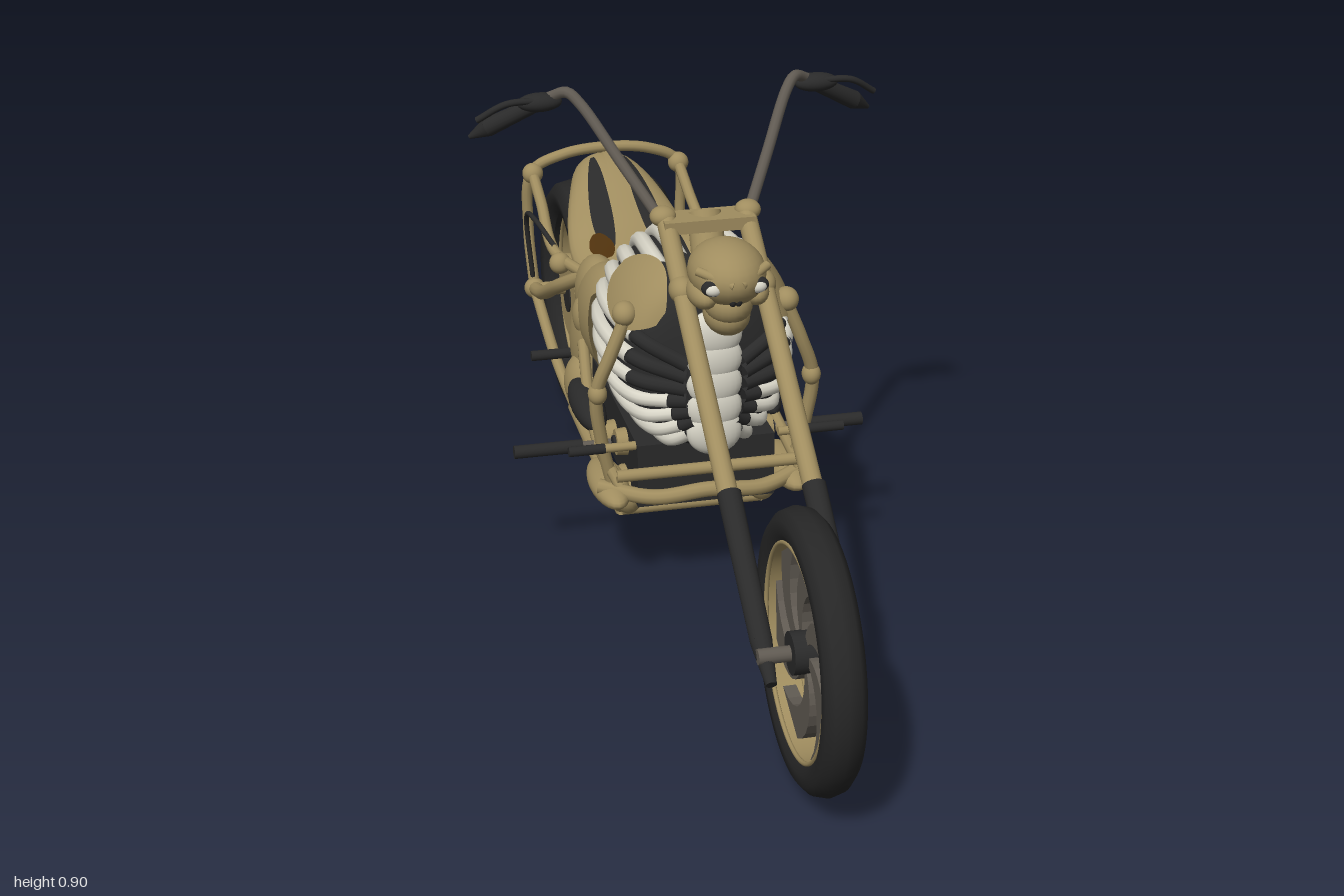
import * as THREE from 'three';
import { ParametricGeometry } from 'three/addons/geometries/ParametricGeometry.js';

const mat = (name, color, side = THREE.FrontSide) => {
  const m = new THREE.MeshStandardMaterial({ color, side });
  m.name = name;
  return m;
};

export function createModel() {
  const root = new THREE.Group();
  root.name = 'chopper';
  const gold = mat('bronze', 0xa08d5f, THREE.DoubleSide);
  const bone = mat('bone white', 0xd9d6c8);
  const black = mat('black', 0x2a2a2a, THREE.DoubleSide);
  const rubber = mat('rubber', 0x262626);
  const steel = mat('dark steel', 0x605a52);
  const silver = mat('silver', 0x8f8f8c);
  const brown = mat('brown leather', 0x4e310d, THREE.DoubleSide);

  const V = (p) => new THREE.Vector3(...p);
  const add = (name, geo, m, p = [0, 0, 0], parent = root) => {
    const mesh = new THREE.Mesh(geo, m);
    mesh.name = name;
    mesh.position.set(...p);
    parent.add(mesh);
    return mesh;
  };
  const tube = (name, pts, r, m) =>
    add(name, new THREE.TubeGeometry(new THREE.CatmullRomCurve3(pts.map(V)), pts.length * 8, r, 10), m);
  const ball = (name, p, s, m) => {
    const b = add(name, new THREE.SphereGeometry(1, 24, 16), m, p);
    b.scale.set(...s);
    return b;
  };
  const box = (name, p, s, m) => add(name, new THREE.BoxGeometry(...s), m, p);
  // Straight rod from a to b, with a radius at each end
  const rod = (name, a, b, ra, rb, m) => {
    const d = V(b).sub(V(a));
    const mesh = add(name, new THREE.CylinderGeometry(rb, ra, d.length(), 16), m);
    mesh.position.copy(V(a)).addScaledVector(d, 0.5);
    mesh.quaternion.setFromUnitVectors(new THREE.Vector3(0, 1, 0), d.normalize());
    return mesh;
  };
  const both = (fn) => [1, -1].forEach(fn);
  const span = (s, a0, a1) => (s > 0 ? [a0, a1] : [-a1, -a0]);

  // Lofted shell: rows are [z, bottom, top, half width], angle 0 is the crest
  const shell = (rows) => {
    const size = new THREE.CatmullRomCurve3(rows.map((r) => V(r.slice(1))), false, 'catmullrom');
    const along = new THREE.CatmullRomCurve3(rows.map((r) => V([r[0], 0, 0])), false, 'catmullrom');
    return (t, a, off = 0) => {
      const s = size.getPoint(t), h = (s.y - s.x) / 2;
      return new THREE.Vector3((s.z + off) * Math.sin(a), (s.x + s.y) / 2 + (h + off) * Math.cos(a), along.getPoint(t).x);
    };
  };
  const patch = (name, surf, a0, a1, t0, t1, off, m, taper = false) =>
    add(name, new ParametricGeometry((u, v, out) => {
      const k = taper ? Math.sqrt(Math.sin(Math.PI * (0.02 + 0.96 * v))) : 1;
      const mid = (a0 + a1) / 2;
      out.copy(surf(t0 + (t1 - t0) * v, mid + (u - 0.5) * (a1 - a0) * k, off));
    }, 32, 32), m);

  // Wheels: tyre, rim barrel and swept blades
  const wheel = (name, y, z, inner, half, tyreProfile, bladeDepth) => {
    const g = new THREE.Group();
    g.name = name;
    g.position.set(0, y, z);
    root.add(g);
    const pts = tyreProfile.map(([r, x]) => new THREE.Vector2(r, x));
    add('tyre', new THREE.LatheGeometry(pts, 64), rubber, [0, 0, 0], g).rotation.z = -Math.PI / 2;
    const barrel = new THREE.CylinderGeometry(inner, inner, half * 1.5, 64, 1, true);
    add('rimBarrel', barrel, gold, [0, 0, 0], g).rotation.z = Math.PI / 2;
    both((s) => {
      const lip = add('rimLip', new THREE.TorusGeometry(inner, 0.004, 8, 64), gold, [s * half * 0.75, 0, 0], g);
      lip.rotation.y = Math.PI / 2;
    });
    const sh = new THREE.Shape();
    const edge = [];
    for (let i = 0; i <= 8; i++) edge.push([0.03 + (inner - 0.03) * i / 8, 0.95 * (i / 8) ** 1.4, i / 8]);
    const at = ([r, a], w) => new THREE.Vector2(r * Math.cos(a + w), r * Math.sin(a + w));
    sh.setFromPoints([...edge.map((e) => at(e, -0.22 - 0.06 * e[2])), ...edge.reverse().map((e) => at(e, 0.24 + 0.08 * e[2]))]);
    const blade = new THREE.ExtrudeGeometry(sh, { depth: bladeDepth, bevelEnabled: false }).translate(0, 0, -bladeDepth / 2);
    const spokes = new THREE.Group();
    spokes.name = 'spokes';
    spokes.rotation.y = Math.PI / 2;
    g.add(spokes);
    for (let i = 0; i < 6; i++) add('blade', blade, steel, [0, 0, 0], spokes).rotation.z = i * Math.PI / 3;
    add('hub', new THREE.CylinderGeometry(0.035, 0.035, half * 1.9, 24), black, [0, 0, 0], g).rotation.z = Math.PI / 2;
    return g;
  };
  wheel('frontWheel', 0.24, 0.77, 0.174, 0.034,
    [[0.176, -0.026], [0.19, -0.034], [0.21, -0.033], [0.224, -0.021], [0.23, 0], [0.224, 0.021], [0.21, 0.033], [0.19, 0.034], [0.176, 0.026], [0.176, -0.026]], 0.022);
  const rear = wheel('rearWheel', 0.24, -0.76, 0.168, 0.1,
    [[0.17, -0.09], [0.185, -0.106], [0.21, -0.11], [0.228, -0.095], [0.238, -0.05], [0.24, 0], [0.238, 0.05], [0.228, 0.095], [0.21, 0.11], [0.185, 0.106], [0.17, 0.09], [0.17, -0.09]], 0.09);
  both((s) => {
    const r = s > 0 ? 0.072 : 0.085;
    add('hubDisc', new THREE.CylinderGeometry(r, r, 0.015, 32), s > 0 ? black : gold, [s * 0.085, 0, 0], rear).rotation.z = Math.PI / 2;
  });
  rod('frontAxle', [-0.085, 0.24, 0.77], [0.085, 0.24, 0.77], 0.013, 0.013, steel);
  rod('rearAxle', [-0.165, 0.25, -0.78], [0.165, 0.25, -0.78], 0.014, 0.014, gold);

  // Forks, clamps and handlebars
  both((s) => {
    const x = s * 0.071;
    rod('forkTube', [x, 0.39, 0.535], [x, 0.715, 0.055], 0.017, 0.017, gold);
    rod('forkSleeve', [x, 0.25, 0.74], [x, 0.405, 0.525], 0.018, 0.02, black);
    rod('forkTip', [x, 0.208, 0.805], [x, 0.25, 0.74], 0.009, 0.018, black);
    ball('clampKnob', [s * 0.075, 0.712, 0.06], [0.023, 0.018, 0.023], gold);
    ball('lowerClamp', [x, 0.625, 0.185], [0.022, 0.024, 0.03], gold);
    tube('handlebar', [[s * 0.075, 0.70, 0.06], [s * 0.13, 0.785, -0.02], [s * 0.185, 0.87, -0.1], [s * 0.205, 0.887, -0.12], [s * 0.23, 0.875, -0.14], [s * 0.28, 0.845, -0.165]], 0.01, steel);
    rod('grip', [s * 0.235, 0.87, -0.145], [s * 0.335, 0.81, -0.19], 0.013, 0.017, black);
    rod('gripEnd', [s * 0.335, 0.81, -0.19], [s * 0.366, 0.79, -0.203], 0.017, 0.004, black);
    ball('leverMount', [s * 0.25, 0.866, -0.14], [0.04, 0.017, 0.02], black);
    tube('lever', [[s * 0.25, 0.872, -0.13], [s * 0.31, 0.87, -0.13], [s * 0.36, 0.838, -0.15]], 0.006, black);
  });
  box('upperClamp', [0, 0.702, 0.07], [0.16, 0.022, 0.06], gold);
  rod('steeringNeck', [0, 0.585, 0.12], [0, 0.71, 0.05], 0.032, 0.03, gold);
  box('neckBlock', [0, 0.615, 0.12], [0.12, 0.045, 0.13], black);

  // Skull headlamp
  ball('cranium', [0, 0.665, 0.215], [0.066, 0.054, 0.085], gold);
  ball('upperJaw', [0, 0.615, 0.225], [0.042, 0.04, 0.052], gold);
  ball('lowerJaw', [0, 0.59, 0.215], [0.04, 0.038, 0.052], gold);
  both((s) => {
    ball('cheekbone', [s * 0.044, 0.633, 0.22], [0.026, 0.026, 0.05], gold);
    ball('eyeSocket', [s * 0.036, 0.66, 0.274], [0.022, 0.015, 0.014], black);
    ball('eye', [s * 0.038, 0.659, 0.28], [0.015, 0.011, 0.011], bone);
    ball('nostril', [s * 0.005, 0.637, 0.278], [0.007, 0.012, 0.009], black);
    rod('brow', [s * 0.006, 0.668, 0.294], [s * 0.06, 0.685, 0.254], 0.008, 0.008, gold);
  });

  // Rib cage tank: dark core, longitudinal ribs, spine and sternum
  const tank = shell([[0.13, 0.33, 0.52, 0.05], [0.10, 0.29, 0.59, 0.12], [0.04, 0.27, 0.62, 0.15], [-0.05, 0.27, 0.625, 0.16],
    [-0.15, 0.27, 0.607, 0.146], [-0.25, 0.28, 0.553, 0.116], [-0.33, 0.3, 0.485, 0.083], [-0.42, 0.33, 0.425, 0.055]]);
  patch('tankCore', tank, -Math.PI, Math.PI, 0, 1, 0, black);
  ball('frontCap', [0, 0.425, 0.128], [0.05, 0.095, 0.012], black);
  both((s) => {
    for (let i = 0; i < 11; i++) {
      const a = s * (0.25 + i * 0.237);
      const start = i < 4 ? 0.3 : i < 7 ? 0.2 : 0.06;
      const line = (t0, t1) => Array.from({ length: 9 }, (_, k) => tank(t0 + (t1 - t0) * k / 8, a, 0.002).toArray());
      tube('rib', line(start, 0.95), i < 6 ? 0.0155 : 0.013, bone);
      if (i > 3) tube('ribTip', line(0, start), 0.0135, black);
    }
    patch('shoulder', tank, ...span(s, 0.45, 1.2), 0.1, 0.42, 0.022, gold, true);
    patch('hipFan', tank, ...span(s, 1.35, 2.7), 0.56, 1, 0.022, gold);
  });
  patch('spine', tank, -0.15, 0.15, 0.08, 1, 0.022, gold);
  for (let i = 0; i < 5; i++) ball('sternumSegment', [0, 0.33 + i * 0.046, 0.128], [0.05, 0.045, 0.022], bone);

  // Hips, engine and side covers
  box('engineBlock', [0, 0.225, -0.14], [0.25, 0.12, 0.42], black);
  box('oilPan', [0, 0.148, -0.18], [0.2, 0.07, 0.25], brown);
  box('gearbox', [0, 0.2, -0.42], [0.23, 0.16, 0.15], gold);
  box('underPlate', [0, 0.115, -0.41], [0.2, 0.012, 0.2], black);
  both((s) => {
    ball('hip', [s * 0.085, 0.36, -0.34], [0.06, 0.1, 0.18], gold).rotation.x = -0.1;
    ball('hipRear', [s * 0.09, 0.37, -0.44], [0.045, 0.075, 0.09], gold);
    ball('hipJoint', [s * 0.125, 0.345, -0.4], [0.025, 0.04, 0.04], gold);
    ball('thigh', [s * 0.105, 0.28, -0.42], [0.045, 0.11, 0.095], gold);
    ball('kneeCover', [s * 0.125, 0.21, -0.39], [0.045, 0.062, 0.062], gold);
    ball('airScoop', [s * 0.165, 0.255, -0.19], [0.03, 0.028, 0.11], black);
    for (const [y, z, r] of [[0.25, -0.03, 0.028], [0.215, -0.13, 0.034], [0.205, -0.26, 0.045]]) {
      rod('engineCover', [s * 0.1, y, z], [s * 0.145, y, z], r, r * 0.85, gold);
      rod('coverCap', [s * 0.14, y, z], [s * 0.15, y, z], r * 0.5, r * 0.45, black);
    }
    // Arm-shaped front frame
    tube('armFrame', [[s * 0.14, 0.545, 0.07], [s * 0.172, 0.465, 0.07], [s * 0.196, 0.39, 0.06], [s * 0.187, 0.3, 0.05], [s * 0.165, 0.2, 0.04]], 0.012, gold);
    ball('elbow', [s * 0.194, 0.39, 0.06], [0.017, 0.02, 0.02], gold);
    ball('shoulderJoint', [s * 0.145, 0.54, 0.065], [0.022, 0.022, 0.025], gold);
    ball('footboard', [s * 0.165, 0.185, 0.0], [0.035, 0.025, 0.1], gold);
    ball('lowerCowl', [s * 0.125, 0.155, -0.03], [0.03, 0.045, 0.05], gold);
    tube('sideRail', [[s * 0.165, 0.23, 0.09], [s * 0.17, 0.235, -0.05], [s * 0.16, 0.27, -0.2], [s * 0.14, 0.31, -0.35]], 0.011, gold);
    tube('lowerRail', [[s * 0.13, 0.105, -0.05], [s * 0.13, 0.105, -0.25], [s * 0.13, 0.11, -0.5]], 0.014, gold);
    rod('railPost', [s * 0.13, 0.105, -0.06], [s * 0.165, 0.19, 0.0], 0.012, 0.012, gold);
    // Pegs
    rod('frontPegStem', [s * 0.13, 0.29, 0.075], [s * 0.19, 0.29, 0.075], 0.008, 0.008, gold);
    rod('frontPeg', [s * 0.185, 0.29, 0.075], [s * 0.25, 0.29, 0.075], 0.009, 0.009, black);
    rod('pegStem', [s * 0.13, 0.235, -0.06], [s * 0.21, 0.235, -0.06], 0.008, 0.008, steel);
    rod('footPeg', [s * 0.2, 0.235, -0.06], [s * 0.325, 0.235, -0.06], 0.012, 0.012, black);
    rod('rearPeg', [s * 0.12, 0.24, -0.47], [s * 0.22, 0.24, -0.47], 0.01, 0.01, black);
    // Rear frame
    tube('swingArmUpper', [[s * 0.1, 0.41, -0.45], [s * 0.145, 0.35, -0.55], [s * 0.155, 0.275, -0.7], [s * 0.155, 0.25, -0.79]], 0.014, gold);
    tube('swingArmLower', [[s * 0.13, 0.11, -0.48], [s * 0.148, 0.17, -0.58], [s * 0.155, 0.25, -0.79]], 0.011, gold);
    tube('fenderStay', [[s * 0.11, 0.4, -0.47], [s * 0.15, 0.41, -0.58], [s * 0.15, 0.46, -0.72], [s * 0.15, 0.49, -0.81]], 0.011, gold);
    for (const p of [[0.155, 0.25, -0.79], [0.15, 0.49, -0.81], [0.147, 0.4, -0.54]])
      ball('frameJoint', [s * p[0], p[1], p[2]], [0.021, 0.021, 0.021], gold);
  });
  tube('rearHoop', [[-0.155, 0.25, -0.79], [-0.158, 0.37, -0.83], [-0.15, 0.49, -0.82], [-0.09, 0.525, -0.81], [0, 0.535, -0.81],
    [0.09, 0.525, -0.81], [0.15, 0.49, -0.82], [0.158, 0.37, -0.83], [0.155, 0.25, -0.79]], 0.011, gold);
  tube('frontCrossbar', [[-0.19, 0.2, 0.04], [-0.1, 0.19, 0.085], [0, 0.2, 0.095], [0.1, 0.19, 0.085], [0.19, 0.2, 0.04]], 0.014, gold);
  rod('upperCrossbar', [-0.165, 0.235, 0.08], [0.165, 0.235, 0.08], 0.011, 0.011, gold);
  rod('lowerCrossbar', [-0.13, 0.105, -0.05], [0.13, 0.105, -0.05], 0.012, 0.012, gold);
  tube('brakeLine', [[-0.15, 0.42, -0.58], [-0.175, 0.45, -0.66], [-0.175, 0.42, -0.75], [-0.16, 0.28, -0.78]], 0.005, black);
  tube('kickstand', [[0.1, 0.105, -0.26], [0.115, 0.085, -0.36], [0.13, 0.068, -0.48], [0.155, 0.075, -0.54]], 0.009, silver);

  // Seat and rear fender with inlaid panels
  const seat = shell([[-0.36, 0.34, 0.46, 0.06], [-0.43, 0.34, 0.425, 0.06], [-0.5, 0.34, 0.425, 0.105], [-0.56, 0.36, 0.44, 0.12],
    [-0.64, 0.4, 0.472, 0.112], [-0.74, 0.425, 0.51, 0.088], [-0.82, 0.435, 0.52, 0.062], [-0.85, 0.45, 0.495, 0.03]]);
  patch('seatFender', seat, -Math.PI, Math.PI, 0, 1, 0, gold);
  patch('seatRidge', seat, -0.1, 0.1, 0, 0.97, 0.007, gold);
  both((s) => {
    patch('seatPanel', seat, ...span(s, 0.22, 0.62), 0.34, 0.8, 0.004, black, true);
    patch('seatLeather', seat, ...span(s, 0.35, 0.8), 0.27, 0.45, 0.006, brown, true);
  });
  return root;
}
